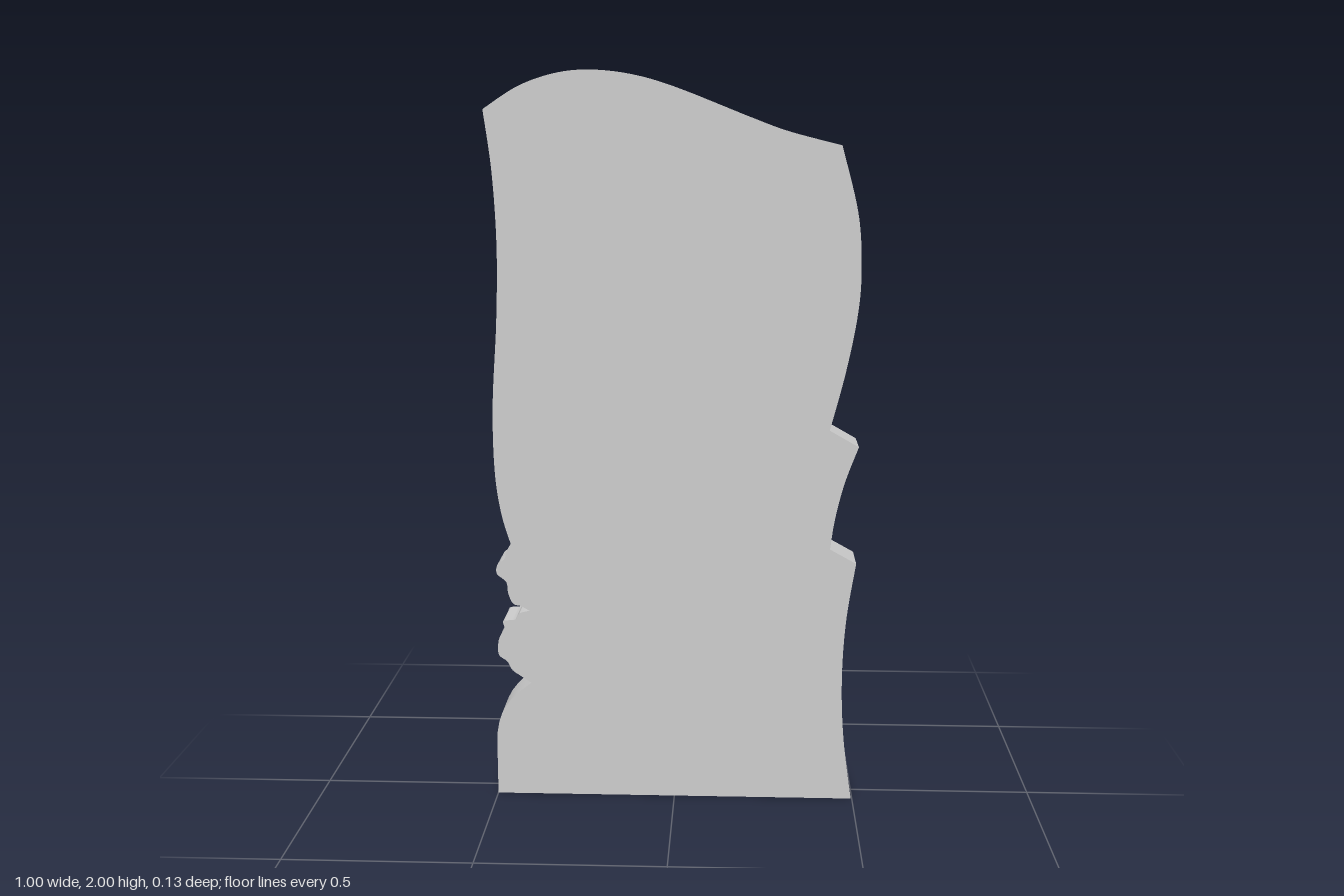
import * as THREE from 'three';
import { toCreasedNormals } from 'three/addons/utils/BufferGeometryUtils.js';

const DEPTH = 0.126;

export function createModel() {
  const group = new THREE.Group();
  group.name = 'slab';
  const stone = new THREE.MeshStandardMaterial({ color: 0xcccccc });
  stone.name = 'paleGrey';

  const outline = new THREE.Shape();
  const spline = (points) => outline.splineThru(points.map(([x, y]) => new THREE.Vector2(x, y)));

  // Right edge: bowed base, two notches, bulging shoulder
  outline.moveTo(-0.5, 0);
  outline.lineTo(0.497, 0);
  spline([[0.473, 0.18], [0.465, 0.35], [0.473, 0.52], [0.497, 0.685]]);
  outline.lineTo(0.425, 0.725);
  spline([[0.437, 0.81], [0.461, 0.91], [0.497, 1.01]]);
  outline.lineTo(0.418, 1.055);
  spline([[0.457, 1.21], [0.485, 1.36], [0.493, 1.48], [0.482, 1.63], [0.436, 1.808]]);

  // Wavy top
  spline([[0.3, 1.843], [0.2, 1.879], [0, 1.957], [-0.12, 1.99], [-0.23, 2], [-0.32, 1.989], [-0.41, 1.957], [-0.5, 1.9]]);

  // Long left edge
  spline([[-0.48, 1.74], [-0.471, 1.55], [-0.476, 1.35], [-0.491, 1.12], [-0.49, 0.94], [-0.475, 0.82], [-0.45, 0.73]]);

  // Two small chipped lobes
  spline([[-0.463, 0.708], [-0.468, 0.688], [-0.488, 0.672], [-0.49, 0.645], [-0.465, 0.622], [-0.46, 0.59], [-0.447, 0.56], [-0.425, 0.553], [-0.402, 0.54]]);
  spline([[-0.43, 0.532], [-0.443, 0.514], [-0.475, 0.509], [-0.473, 0.487], [-0.489, 0.455], [-0.49, 0.412], [-0.467, 0.392], [-0.453, 0.367], [-0.43, 0.35], [-0.4, 0.33]]);

  // Rounded foot
  outline.bezierCurveTo(-0.46, 0.285, -0.5, 0.25, -0.5, 0.15);
  outline.closePath();

  const geometry = new THREE.ExtrudeGeometry(outline, { depth: DEPTH, bevelEnabled: false, curveSegments: 8 });
  geometry.translate(0, 0, -DEPTH / 2);
  const body = new THREE.Mesh(toCreasedNormals(geometry, 0.5), stone);
  body.name = 'slabBody';
  group.add(body);
  return group;
}
